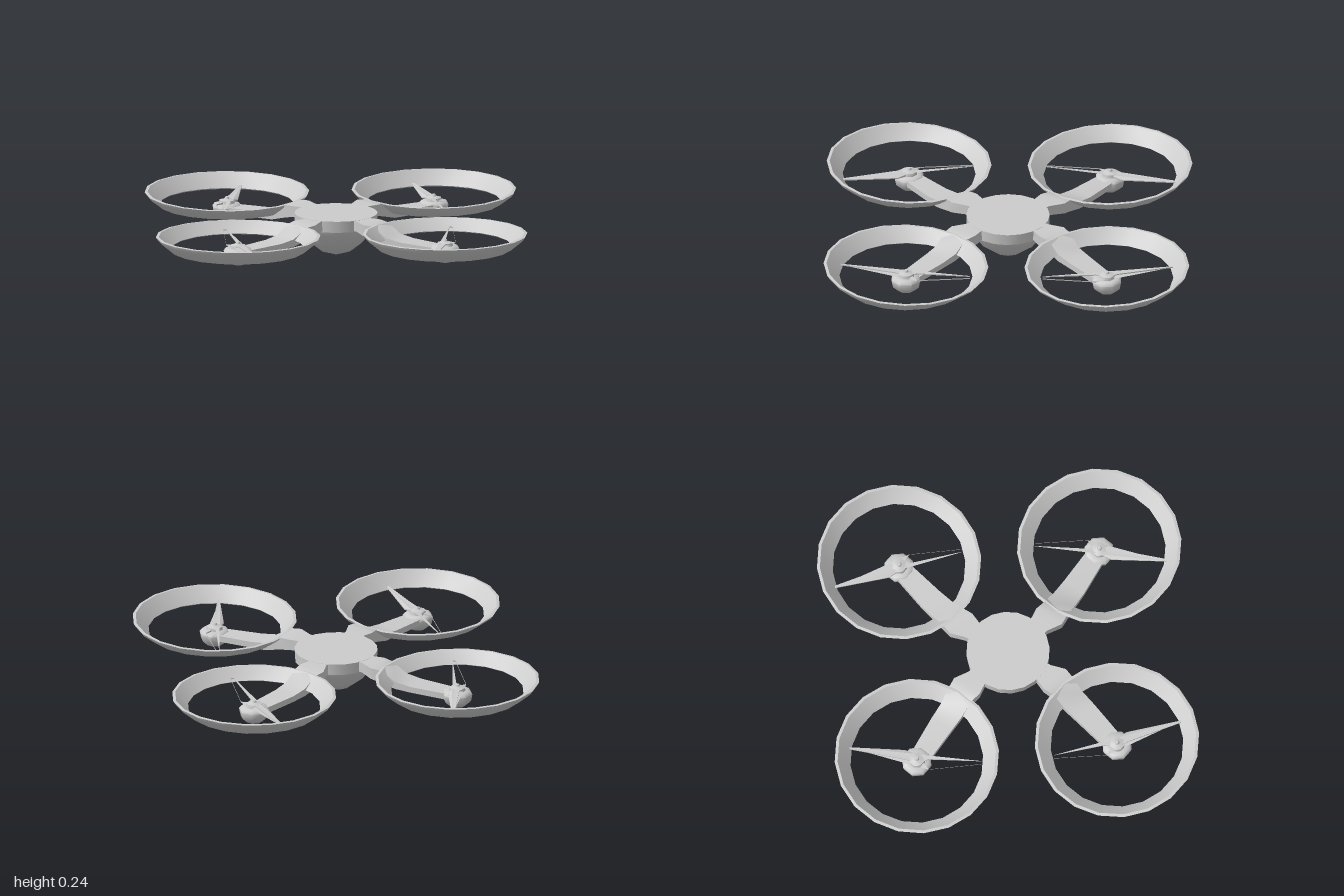
import * as THREE from 'three';
import { toCreasedNormals, mergeVertices } from 'three/addons/utils/BufferGeometryUtils.js';

const MAT = new THREE.MeshStandardMaterial({ color: 0xcccccc, side: THREE.DoubleSide });
const CX = 0.558, CZ = 0.541; // rotor centre in the front left quadrant

const lathe = (points, sides, phase = 0) =>
  new THREE.LatheGeometry(points.map(p => new THREE.Vector2(...p)), sides, phase);

const crease = (geo, angle = 0.7) => {
  const g = geo.index ? geo.toNonIndexed() : geo;
  return toCreasedNormals(g, angle);
};

// Move every vertex by a rule
function warp(geo, rule) {
  const p = geo.attributes.position, v = new THREE.Vector3();
  for (let i = 0; i < p.count; i++) {
    rule(v.fromBufferAttribute(p, i));
    p.setXYZ(i, v.x, v.y, v.z);
  }
  return geo;
}

// Copy into a quadrant, turning faces round where the mirroring flips them
function mirrored(geo, sx, sz) {
  const g = (geo.index ? geo.toNonIndexed() : geo.clone());
  g.scale(sx, 1, sz);
  if (sx * sz < 0) {
    for (const key of ['position', 'normal']) {
      const a = g.attributes[key];
      for (let i = 0; i < a.count; i += 3) {
        const b = [a.getX(i + 1), a.getY(i + 1), a.getZ(i + 1)];
        a.setXYZ(i + 1, a.getX(i + 2), a.getY(i + 2), a.getZ(i + 2));
        a.setXYZ(i + 2, ...b);
      }
    }
  }
  return g;
}

// Flared guard ring, a little taller on its outer side
function ringGeometry() {
  const g = lathe([[0.358, 0.166], [0.366, 0.16], [0.434, 0.215], [0.444, 0.232],
    [0.428, 0.234], [0.358, 0.166]], 20);
  g.translate(CX, 0, CZ);
  warp(g, v => { v.y = 0.16 + (v.y - 0.16) * (1 + 0.13 * (v.z - CZ) / 0.44); });
  return crease(g);
}

// Rounded motor pod with a small cap and shaft
function motorGeometry() {
  const g = lathe([[0, 0.07], [0.045, 0.082], [0.075, 0.11], [0.083, 0.15], [0.07, 0.166],
    [0.046, 0.168], [0.042, 0.184], [0.014, 0.192], [0.01, 0.202], [0, 0.203]], 8, Math.PI / 8);
  return crease(g.translate(CX, 0, CZ), 0.9);
}

// Two tapered, pitched blades
function propellerGeometry() {
  const s = new THREE.Shape([[-0.062, 0.06], [-0.1, 0.355], [-0.088, 0.355], [-0.003, 0.06], [0.03, 0],
    [0.006, -0.06], [0.044, -0.345], [0.06, -0.345], [0.06, -0.06], [-0.03, 0]]
    .map(p => new THREE.Vector2(...p)));
  const g = new THREE.ExtrudeGeometry(s, { depth: 0.006, bevelEnabled: false });
  g.rotateX(Math.PI / 2);
  warp(g, v => { v.y += 0.183 + 0.22 * (v.x + 0.26 * v.z) * Math.sign(v.z); });
  return crease(g.translate(CX, 0, CZ), 0.4);
}

// Arm lofted from rectangles: centre x, centre z, half width, top, bottom
function armGeometry() {
  const sections = [
    [0.08, 0.11, 0.055, 0.231, 0.175], [0.133, 0.178, 0.055, 0.231, 0.175],
    [0.18, 0.238, 0.082, 0.231, 0.17], [0.225, 0.28, 0.072, 0.226, 0.155],
    [0.29, 0.33, 0.068, 0.175, 0.134], [0.36, 0.388, 0.065, 0.163, 0.13],
    [0.55, 0.533, 0.052, 0.156, 0.122]];
  const pos = [], idx = [];
  for (const [x, z, w, top, bottom] of sections) {
    const nx = -0.62 * w, nz = 0.785 * w;
    pos.push(x + nx, top, z + nz, x - nx, top, z - nz, x - nx, bottom, z - nz, x + nx, bottom, z + nz);
  }
  for (let i = 0; i < sections.length - 1; i++) {
    for (let k = 0; k < 4; k++) {
      const a = i * 4 + k, b = i * 4 + (k + 1) % 4;
      idx.push(a, a + 4, b, b, a + 4, b + 4);
    }
  }
  const e = (sections.length - 1) * 4;
  idx.push(0, 1, 2, 0, 2, 3, e, e + 2, e + 1, e, e + 3, e + 2);
  const g = new THREE.BufferGeometry();
  g.setAttribute('position', new THREE.Float32BufferAttribute(pos, 3));
  g.setIndex(idx);
  return crease(g, 0.8);
}

export function createModel() {
  const model = new THREE.Group();
  model.name = 'quadcopter';
  const add = (parent, name, geo) => {
    const mesh = new THREE.Mesh(geo, MAT);
    mesh.name = name;
    parent.add(mesh);
  };

  // Central body: flat disc over a rounded bowl
  const disc = new THREE.CylinderGeometry(0.225, 0.222, 0.062, 20).translate(0, 0.201, 0);
  add(model, 'bodyDisc', disc);
  const bowl = lathe([[0, 0], [0.085, 0.026], [0.152, 0.078], [0.2, 0.145], [0.212, 0.172]], 12);
  bowl.deleteAttribute('uv');
  bowl.deleteAttribute('normal');
  const smoothBowl = mergeVertices(bowl);
  smoothBowl.computeVertexNormals();
  add(model, 'bodyBowl', smoothBowl);

  // Four rotor units, mirrored from one quadrant
  const parts = {
    arm: armGeometry(), motor: motorGeometry(),
    propeller: propellerGeometry(), guardRing: ringGeometry(),
  };
  for (const sx of [1, -1]) {
    for (const sz of [1, -1]) {
      const unit = new THREE.Group();
      unit.name = (sz > 0 ? 'front' : 'back') + (sx > 0 ? 'Left' : 'Right') + 'Rotor';
      for (const [name, geo] of Object.entries(parts)) add(unit, name, mirrored(geo, sx, sz));
      model.add(unit);
    }
  }
  return model;
}
